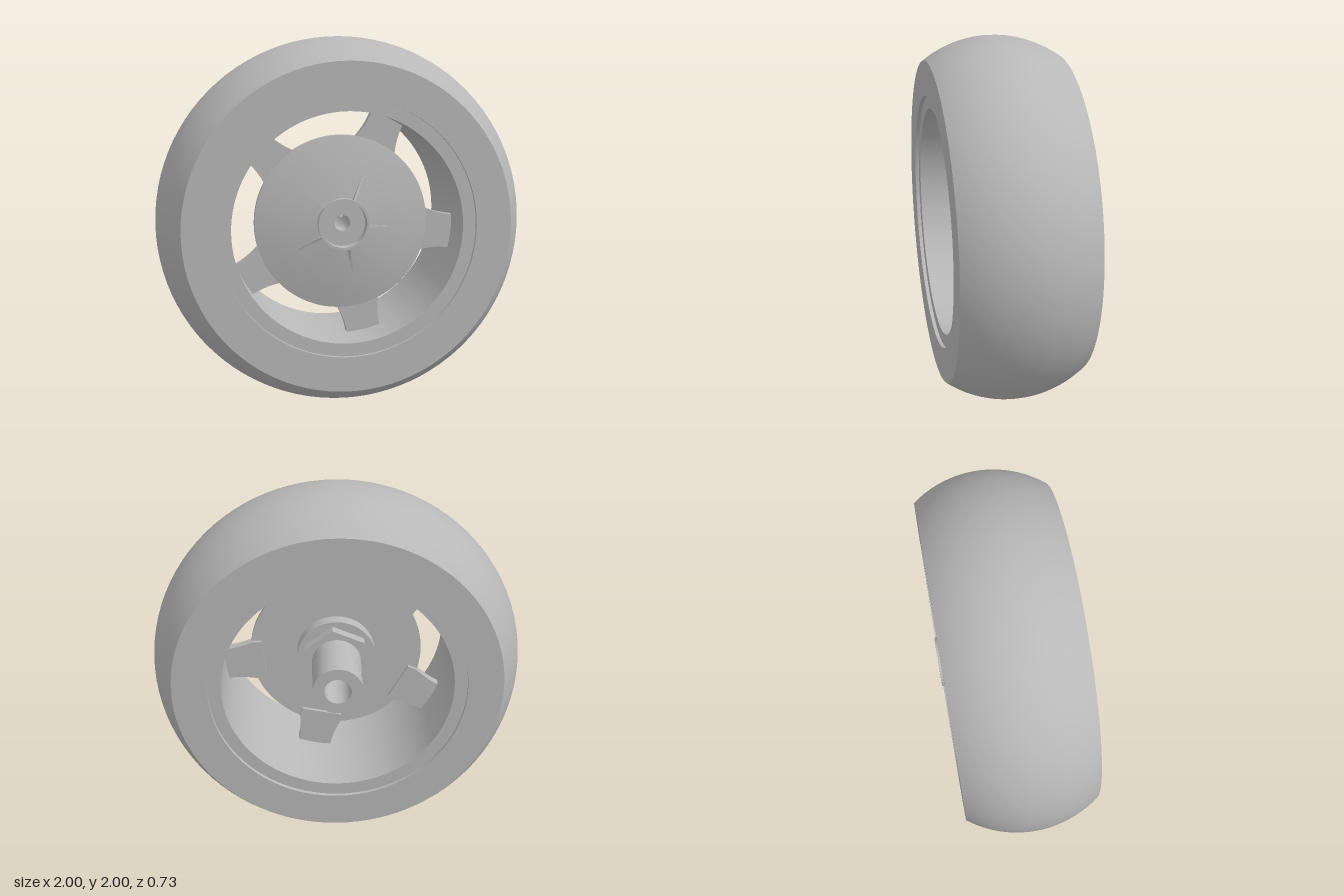
import * as THREE from 'three';
import { toCreasedNormals } from 'three/addons/utils/BufferGeometryUtils.js';
import { ParametricGeometry } from 'three/addons/geometries/ParametricGeometry.js';

const grey = new THREE.MeshStandardMaterial({ color: 0xb8b8b8 });
grey.name = 'grey';

const TILT = THREE.MathUtils.degToRad(-6.3); // angle of the first spoke
const SPOKES = 5;

function add(parent, name, geometry) {
  const mesh = new THREE.Mesh(geometry, grey);
  mesh.name = name;
  parent.add(mesh);
  return mesh;
}

// Closed (radius, z) profile, counter-clockwise, turned about the z axis
function turned(profile) {
  const pts = [...profile, profile[0]].map(([r, z]) => new THREE.Vector2(r, z));
  return toCreasedNormals(new THREE.LatheGeometry(pts, 96).rotateX(Math.PI / 2), 0.5);
}

// Tyre with a rounded tread
function tyreProfile() {
  const half = 0.36, drop = 0.12;
  const R = (half * half + drop * drop) / (2 * drop);
  const end = Math.asin(half / R);
  const pts = [[0.69, -half]];
  for (let i = 0; i <= 20; i++) {
    const a = -end + (2 * end * i) / 20;
    pts.push([1 - R + R * Math.cos(a), R * Math.sin(a)]);
  }
  pts.push([0.69, half]);
  return pts;
}

// Spoke flared at its root, pointing along +x
function spokeGeometry() {
  const at = (r, deg) => {
    const a = THREE.MathUtils.degToRad(deg);
    return [r * Math.cos(a), r * Math.sin(a)];
  };
  const s = new THREE.Shape();
  s.moveTo(...at(0.42, -15.5));
  s.lineTo(...at(0.47, -14.5));
  s.quadraticCurveTo(...at(0.55, -9.3), ...at(0.63, -8.6));
  s.lineTo(...at(0.635, 0));
  s.lineTo(...at(0.63, 8.6));
  s.quadraticCurveTo(...at(0.55, 9.3), ...at(0.47, 14.5));
  s.lineTo(...at(0.42, 15.5));
  const g = new THREE.ExtrudeGeometry(s, { depth: 0.05, bevelEnabled: false, curveSegments: 8 });
  return toCreasedNormals(g.translate(0, 0, 0.052), 0.5);
}

// Thin triangular rib running outwards from the hub ring
function ribGeometry() {
  const s = new THREE.Shape();
  s.moveTo(0.13, 0.13);
  s.lineTo(0.28, 0.135);
  s.lineTo(0.28, 0.146);
  s.lineTo(0.2, 0.168);
  s.lineTo(0.13, 0.198);
  const g = new THREE.ExtrudeGeometry(s, { depth: 0.012, bevelEnabled: false });
  return g.translate(0, 0, -0.006).rotateX(Math.PI / 2);
}

// Hollow shaft with a cross hole through both walls
function createShaft() {
  const shaft = new THREE.Group();
  shaft.name = 'shaft';
  const outer = 0.135, bore = 0.073, back = -0.37, front = 0.01;
  const holeZ = -0.27, holeR = 0.032, patchA = 0.65, patchH = 0.06;
  const polar = (out, r, a, z) => out.set(r * Math.cos(a), r * Math.sin(a), z);

  const wall = (name, r, a0, a1, z0, z1) => {
    // the bore faces inwards, so its direction of turn is reversed
    const [from, to] = r === outer ? [a0, a1] : [a1, a0];
    add(shaft, name, new ParametricGeometry((u, v, out) =>
      polar(out, r, from + (to - from) * u, z0 + (z1 - z0) * v), 48, 1));
  };
  const patch = (name, r, side) => {
    const dir = r === outer ? -1 : 1;
    add(shaft, name, new ParametricGeometry((u, v, out) => {
      const p = dir * 2 * Math.PI * u, c = Math.cos(p), s = Math.sin(p);
      const k = Math.max(Math.abs(c), Math.abs(s));
      const a = THREE.MathUtils.lerp((holeR * c) / r, (patchA * c) / k, v);
      const z = THREE.MathUtils.lerp(holeR * s, (patchH * s) / k, v);
      polar(out, r, side + a, holeZ + z);
    }, 32, 4));
  };

  for (const [label, r] of [['Outside', outer], ['Bore', bore]]) {
    wall('shaftEnd' + label, r, 0, 2 * Math.PI, back, holeZ - patchH);
    wall('shaftBody' + label, r, 0, 2 * Math.PI, holeZ + patchH, front);
    for (const side of [0, Math.PI]) {
      wall('shaftBand' + label, r, side + patchA, side + Math.PI - patchA, holeZ - patchH, holeZ + patchH);
      patch('shaftHoleSurround' + label, r, side);
    }
  }
  for (const side of [0, Math.PI]) {
    add(shaft, 'crossHole', new ParametricGeometry((u, v, out) => {
      const p = 2 * Math.PI * u, r = outer + (bore - outer) * v;
      polar(out, r, side + (holeR * Math.cos(p)) / r, holeZ + holeR * Math.sin(p));
    }, 32, 1));
  }
  add(shaft, 'shaftEndFace', new THREE.RingGeometry(bore, outer, 48).rotateY(Math.PI).translate(0, 0, back));
  shaft.rotation.z = TILT;
  return shaft;
}

// Hexagonal nut around the shaft
function nutGeometry() {
  const s = new THREE.Shape();
  for (let i = 0; i < 6; i++) {
    const a = Math.PI / 6 + (i * Math.PI) / 3;
    s[i ? 'lineTo' : 'moveTo'](0.19 * Math.cos(a), 0.19 * Math.sin(a));
  }
  s.holes.push(new THREE.Path().absarc(0, 0, 0.13, 0, 2 * Math.PI, true));
  return new THREE.ExtrudeGeometry(s, { depth: 0.06, bevelEnabled: false, curveSegments: 24 })
    .translate(0, 0, -0.055);
}

export function createModel() {
  const model = new THREE.Group();
  model.name = 'wheel';
  const wheel = new THREE.Group();
  wheel.name = 'wheelAssembly';
  wheel.position.set(0, 1, 0.004);
  model.add(wheel);

  add(wheel, 'tyre', turned(tyreProfile()));
  add(wheel, 'rim', turned([[0.62, -0.34], [0.695, -0.34], [0.695, 0.34], [0.62, 0.34]]));

  // Domed disc with a raised ring and a recessed centre
  add(wheel, 'hubDisc', turned([
    [0.043, 0.07], [0.475, 0.07], [0.475, 0.104], [0.38, 0.126], [0.26, 0.147], [0.14, 0.163],
    [0.14, 0.2], [0.126, 0.2], [0.126, 0.14], [0.043, 0.14],
  ]));
  add(wheel, 'hubFlange', turned([[0.043, 0], [0.215, 0], [0.215, 0.07], [0.043, 0.07]]));
  add(wheel, 'hexNut', nutGeometry()).rotation.z = TILT;

  const spoke = spokeGeometry(), rib = ribGeometry();
  for (let i = 0; i < SPOKES; i++) {
    const angle = TILT + (i * 2 * Math.PI) / SPOKES;
    add(wheel, 'spoke', spoke).rotation.z = angle;
    add(wheel, 'hubRib', rib).rotation.z = angle;
  }

  wheel.add(createShaft());
  return model;
}
